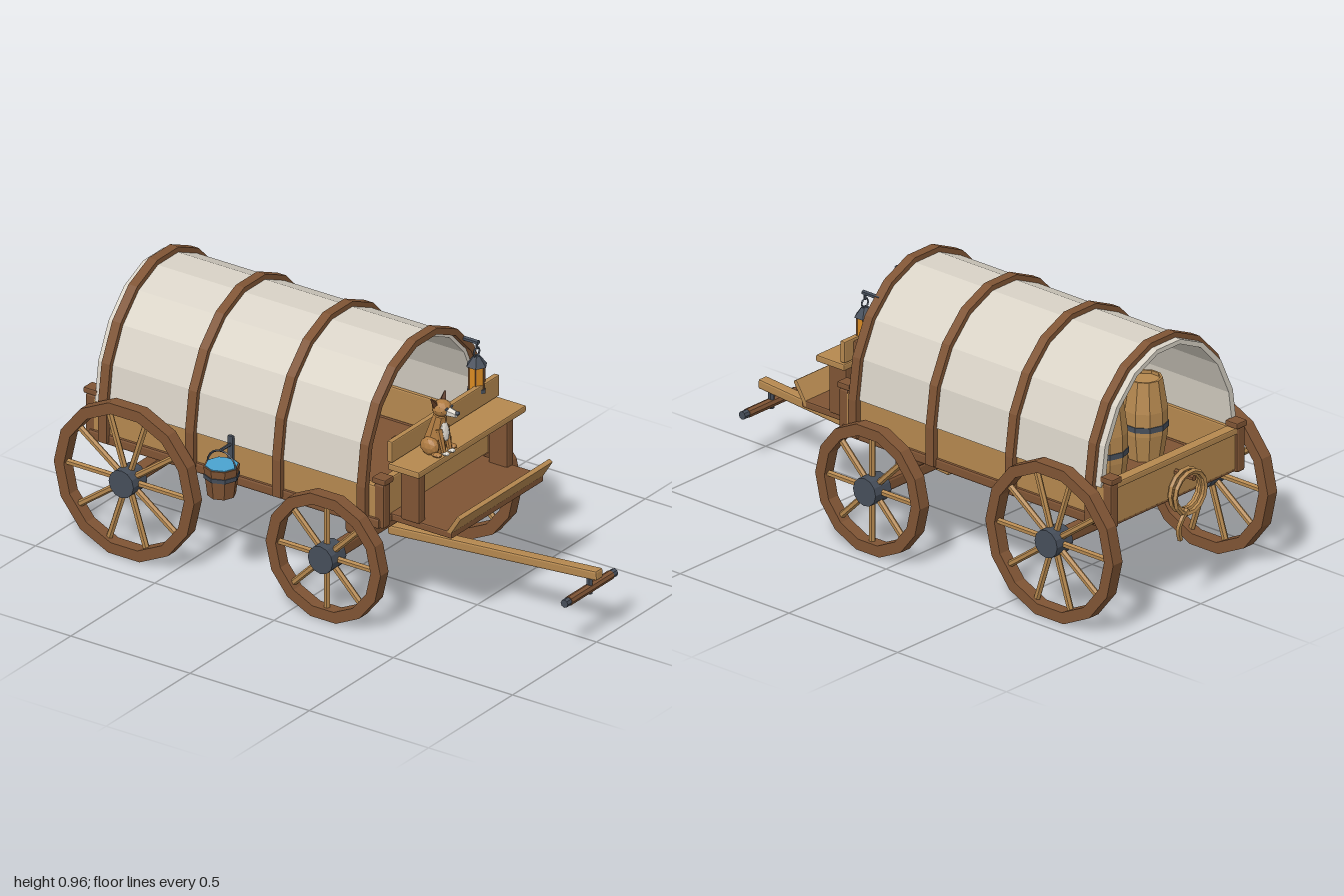
import * as THREE from 'three';
import { RoundedBoxGeometry } from 'three/addons/geometries/RoundedBoxGeometry.js';

const mat = (name, color) => Object.assign(new THREE.MeshStandardMaterial({ color, flatShading: true }), { name });
const V = (x, y, z) => new THREE.Vector3(x, y, z);

export function createModel() {
  const lightWood = mat('light wood', 0xb5884f);
  const brownWood = mat('brown wood', 0x7f5434);
  const canvas = mat('canvas', 0xd8d2c6);
  const iron = mat('iron', 0x464e5a);
  const glow = mat('lamp glass', 0xd98a22);
  const water = mat('water', 0x4aa3d0);
  const fur = mat('fur', 0xb07c42);
  const paleFur = mat('pale fur', 0xded9cf);
  const darkFur = mat('dark fur', 0x5c3822);

  const root = new THREE.Group();
  root.name = 'wagon';
  root.position.x = 0.022;
  const group = (name, parent = root) => {
    const g = new THREE.Group();
    g.name = name;
    parent.add(g);
    return g;
  };
  const add = (name, geo, m, x = 0, y = 0, z = 0, parent = root) => {
    const mesh = new THREE.Mesh(geo, m);
    mesh.name = name;
    mesh.position.set(x, y, z);
    parent.add(mesh);
    return mesh;
  };
  // chamfered timber
  const box = (name, w, h, d, m, x, y, z, parent) =>
    add(name, new RoundedBoxGeometry(w, h, d, 1, Math.min(w, h, d) * 0.2), m, x, y, z, parent);
  const cyl = (name, rt, rb, h, n, m, x, y, z, parent) =>
    add(name, new THREE.CylinderGeometry(rt, rb, h, n), m, x, y, z, parent);
  // round rod between two points
  const rod = (name, a, b, r0, r1, m, parent, n = 6) => {
    const mid = a.clone().add(b).multiplyScalar(0.5);
    const mesh = cyl(name, r1, r0, a.distanceTo(b), n, m, mid.x, mid.y, mid.z, parent);
    mesh.quaternion.setFromUnitVectors(V(0, 1, 0), b.clone().sub(a).normalize());
    return mesh;
  };
  const ball = (name, r, sx, sy, sz, m, x, y, z, parent) => {
    const mesh = add(name, new THREE.IcosahedronGeometry(r, 1), m, x, y, z, parent);
    mesh.scale.set(sx, sy, sz);
    return mesh;
  };

  // wheels
  const wheel = (name, x, y, z, R, spokes) => {
    const g = group(name);
    g.position.set(x, y, z);
    const r = R - 0.042, w = 0.024;
    const profile = [[R, -w], [R, w], [r, w], [r, -w], [R, -w]].map(p => new THREE.Vector2(...p));
    add('rim', new THREE.LatheGeometry(profile, 14), brownWood, 0, 0, 0, g).rotation.z = Math.PI / 2;
    cyl('hub', 0.052, 0.052, 0.082, 12, iron, 0, 0, 0, g).rotation.z = Math.PI / 2;
    for (let i = 0; i < spokes; i++) {
      const a = i / spokes * Math.PI * 2, c = Math.cos(a), s = Math.sin(a);
      rod('spoke', V(0, s * 0.04, c * 0.04), V(0, s * (r + 0.005), c * (r + 0.005)), 0.012, 0.012, lightWood, g);
    }
  };
  for (const s of [1, -1]) {
    wheel('frontWheel', s * 0.398, 0.235, 0.135, 0.241, 8);
    wheel('rearWheel', s * 0.398, 0.287, -0.70, 0.294, 10);
  }

  // running gear
  box('frontAxle', 0.74, 0.048, 0.05, brownWood, 0, 0.235, 0.135);
  box('rearAxle', 0.74, 0.048, 0.05, brownWood, 0, 0.29, -0.70);
  box('frontBolster', 0.50, 0.09, 0.065, brownWood, 0, 0.30, 0.135);
  cyl('kingpin', 0.03, 0.03, 0.06, 8, iron, 0, 0.35, 0.135);
  box('rearBolster', 0.50, 0.06, 0.06, brownWood, 0, 0.34, -0.70);
  box('tongue', 0.042, 0.036, 0.88, lightWood, 0, 0.214, 0.56).rotation.x = -0.08;
  rod('crossbar', V(-0.125, 0.185, 0.955), V(0.125, 0.185, 0.955), 0.017, 0.017, brownWood, root, 8);
  for (const s of [1, -1])
    rod('crossbarCap', V(s * 0.12, 0.185, 0.955), V(s * 0.15, 0.185, 0.955), 0.015, 0.015, iron, root, 8);
  rod('crossbarPin', V(0, 0.165, 0.955), V(0, 0.24, 0.955), 0.012, 0.012, iron);

  // bed
  box('floor', 0.68, 0.03, 1.22, brownWood, 0, 0.385, -0.29);
  for (const s of [1, -1]) {
    box('sideWall', 0.03, 0.125, 1.19, lightWood, s * 0.33, 0.465, -0.29);
    box('sideSill', 0.04, 0.04, 1.22, brownWood, s * 0.333, 0.388, -0.29);
    for (const z of [0.315, -0.895]) {
      box('cornerPost', 0.042, 0.17, 0.042, brownWood, s * 0.325, 0.455, z);
      box('postCap', 0.052, 0.022, 0.056, brownWood, s * 0.322, 0.549, z);
    }
  }
  box('frontBoard', 0.64, 0.16, 0.03, lightWood, 0, 0.455, 0.30);
  box('tailgate', 0.64, 0.14, 0.03, lightWood, 0, 0.45, -0.89);
  box('tailgateRail', 0.64, 0.025, 0.042, lightWood, 0, 0.527, -0.892);

  // arched cover and hoops
  const arch = (a, b, up, foot) => {
    const pts = [];
    for (let i = 0; i <= 9; i++) {
      const t = (up ? i : 9 - i) / 9 * Math.PI;
      pts.push(new THREE.Vector2(a * Math.cos(t), 0.52 + b * Math.sin(t)));
    }
    const ends = [pts[0], pts[9]].map(p => new THREE.Vector2(p.x, foot));
    return foot < 0.52 ? [ends[0], ...pts, ends[1]] : pts;
  };
  const archBand = (outer, inner, foot, depth) => new THREE.ExtrudeGeometry(
    new THREE.Shape([...arch(...outer, true, foot), ...arch(...inner, false, foot)]),
    { depth, bevelEnabled: false });
  add('cover', archBand([0.350, 0.428], [0.328, 0.411], 0.52, 1.125), canvas, 0, 0, -0.873);
  for (const z of [0.255, -0.10, -0.465, -0.83])
    add('hoop', archBand([0.367, 0.447], [0.344, 0.423], 0.38, 0.036), brownWood, 0, 0, z - 0.018);

  // driver's bench and footboard
  box('seat', 0.64, 0.025, 0.13, lightWood, 0, 0.602, 0.40);
  box('seatBack', 0.64, 0.08, 0.022, lightWood, 0, 0.66, 0.342);
  for (const s of [1, -1]) {
    box('seatSupport', 0.04, 0.20, 0.08, brownWood, s * 0.262, 0.492, 0.40);
    box('seatBackStrut', 0.025, 0.10, 0.02, brownWood, s * 0.262, 0.64, 0.326);
  }
  box('footboard', 0.55, 0.028, 0.27, brownWood, 0, 0.386, 0.435);
  box('toeBoard', 0.55, 0.10, 0.018, lightWood, 0, 0.42, 0.575).rotation.x = 0.56;

  // barrels
  const barrel = (x, z, h) => {
    const g = group('barrel');
    g.position.set(x, 0.40, z);
    const profile = [[0, 0], [0.064, 0], [0.08, h * 0.33], [0.08, h * 0.62], [0.062, h], [0.054, h], [0.054, h - 0.012], [0, h - 0.012]];
    add('staves', new THREE.LatheGeometry(profile.map(p => new THREE.Vector2(...p)), 10), lightWood, 0, 0, 0, g);
    cyl('barrelBand', 0.083, 0.083, 0.02, 10, iron, 0, h * 0.42, 0, g);
  };
  barrel(0.135, -0.70, 0.345);
  barrel(0.14, -0.49, 0.30);
  barrel(-0.16, -0.62, 0.295);

  // bucket on its hook
  const bucket = group('bucket');
  bucket.position.set(-0.422, 0, -0.29);
  cyl('bucketStaves', 0.064, 0.05, 0.112, 8, brownWood, 0, 0.416, 0, bucket);
  cyl('bucketBand', 0.064, 0.0625, 0.016, 8, iron, 0, 0.435, 0, bucket);
  cyl('bucketWater', 0.058, 0.058, 0.006, 8, water, 0, 0.472, 0, bucket);
  const bail = add('bail', new THREE.TorusGeometry(0.06, 0.004, 4, 10, Math.PI), iron, 0, 0.465, 0, bucket);
  bail.rotation.y = Math.PI / 2;
  rod('hookArm', V(0.065, 0.53, 0), V(-0.005, 0.53, 0), 0.006, 0.006, iron, bucket);
  box('hookPlate', 0.012, 0.10, 0.022, iron, 0.056, 0.512, 0, bucket);

  // rope coil on the tailgate
  const rope = group('rope');
  rod('ropePeg', V(0, 0.475, -0.90), V(0, 0.475, -0.99), 0.011, 0.011, brownWood, rope);
  [[0.075, -0.945], [0.068, -0.962], [0.077, -0.976]].forEach(([r, z], i) =>
    add('ropeLoop', new THREE.TorusGeometry(r, 0.010, 5, 14), lightWood, i * 0.003, 0.42, z, rope));
  const tail = new THREE.CatmullRomCurve3([V(0.02, 0.36, -0.975), V(0.05, 0.34, -0.98), V(0.065, 0.30, -0.975), V(0.05, 0.255, -0.97)]);
  add('ropeEnd', new THREE.TubeGeometry(tail, 8, 0.010, 5), lightWood, 0, 0, 0, rope);

  // hanging lantern
  const lamp = group('lantern');
  lamp.position.set(0.223, 0, 0.325);
  cyl('lampBase', 0.036, 0.036, 0.014, 6, iron, 0, 0.677, 0, lamp);
  cyl('lampGlass', 0.029, 0.029, 0.086, 6, glow, 0, 0.727, 0, lamp);
  cyl('lampRoof', 0.012, 0.039, 0.036, 6, iron, 0, 0.786, 0, lamp);
  for (let i = 0; i < 6; i++) {
    const a = i * Math.PI / 3;
    cyl('lampBar', 0.003, 0.003, 0.086, 4, brownWood, Math.sin(a) * 0.03, 0.727, Math.cos(a) * 0.03, lamp);
  }
  add('lampRing', new THREE.TorusGeometry(0.017, 0.004, 4, 8), iron, 0, 0.818, 0, lamp);
  rod('lampHook', V(0, 0.83, 0), V(0, 0.862, 0), 0.005, 0.005, iron, lamp);
  rod('lampBracket', V(0, 0.856, 0.008), V(0, 0.856, -0.07), 0.009, 0.009, iron, lamp);

  // sitting dog
  const dog = group('dog');
  dog.position.set(-0.14, 0.615, 0.415);
  rod('body', V(0, 0.01, -0.015), V(0, 0.14, 0.012), 0.045, 0.024, fur, dog, 8);
  const chest = ball('chest', 0.02, 1, 2, 0.6, paleFur, 0, 0.085, 0.032, dog);
  chest.rotation.x = -0.2;
  ball('head', 0.036, 1, 0.85, 1, fur, 0, 0.168, 0.02, dog);
  rod('muzzle', V(0, 0.162, 0.04), V(0, 0.158, 0.082), 0.02, 0.012, paleFur, dog);
  ball('nose', 0.009, 1, 0.8, 1, iron, 0, 0.165, 0.086, dog);
  for (const s of [1, -1]) {
    ball('haunch', 0.034, 0.7, 1, 1.1, fur, s * 0.037, 0.03, -0.005, dog);
    rod('foreleg', V(s * 0.017, 0.005, 0.042), V(s * 0.02, 0.095, 0.022), 0.009, 0.013, fur, dog);
    ball('paw', 0.012, 1, 0.6, 1.3, paleFur, s * 0.017, 0.007, 0.048, dog);
    ball('hindPaw', 0.014, 1, 0.6, 1.5, fur, s * 0.045, 0.008, 0.03, dog);
    rod('ear', V(s * 0.022, 0.182, 0.008), V(s * 0.042, 0.212, 0.004), 0.014, 0.004, darkFur, dog, 4);
    ball('eye', 0.007, 1.2, 0.8, 0.6, iron, s * 0.015, 0.176, 0.05, dog);
  }
  const tailCurve = new THREE.CatmullRomCurve3([V(0, 0.015, -0.045), V(0.02, 0.015, -0.055), V(0.045, 0.015, -0.045), V(0.06, 0.02, -0.02)]);
  add('tail', new THREE.TubeGeometry(tailCurve, 6, 0.011, 5), fur, 0, 0, 0, dog);

  return root;
}
